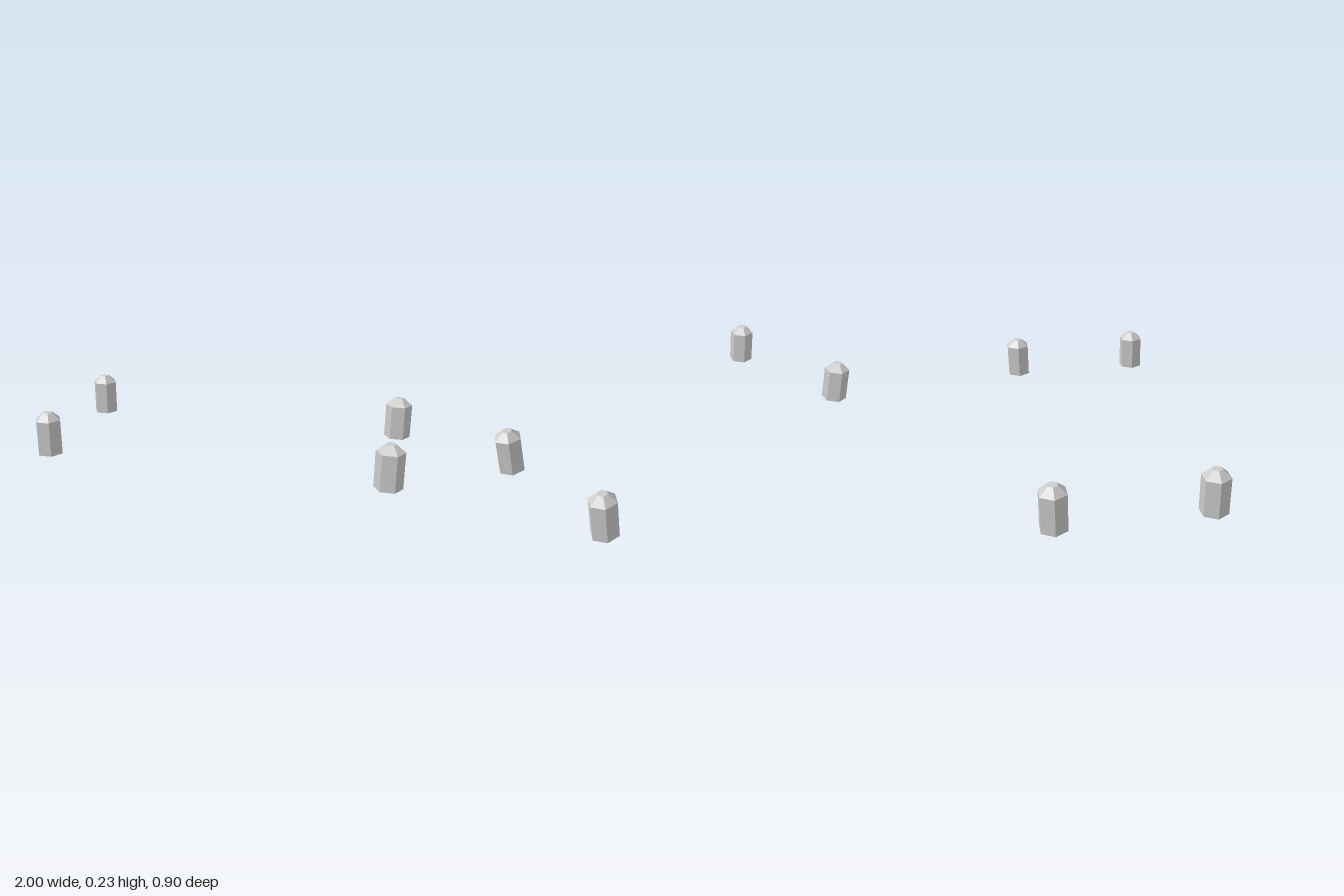
import * as THREE from 'three';

export function createModel() {
  const model = new THREE.Group();
  model.name = 'cornerPosts';

  const material = new THREE.MeshStandardMaterial({
    color: 0xcccccc,
    flatShading: true,
    side: THREE.DoubleSide,
  });

  // Hexagonal post: straight sides, chamfered shoulder, flat top, open underneath
  const profile = [
    [0.0737, 0],
    [0.0737, 0.194],
    [0.0275, 0.234],
    [0, 0.234],
  ].map(([r, y]) => new THREE.Vector2(r, y));
  const postGeometry = new THREE.LatheGeometry(profile, 6, Math.PI / 6);

  // One post at each corner of the rectangle
  for (const [xName, sx] of [['Left', 1], ['Right', -1]]) {
    for (const [zName, sz] of [['front', 1], ['back', -1]]) {
      const post = new THREE.Mesh(postGeometry, material);
      post.name = `${zName}${xName}Post`;
      post.position.set(sx * 0.9263, 0, sz * 0.384);
      model.add(post);
    }
  }

  return model;
}
